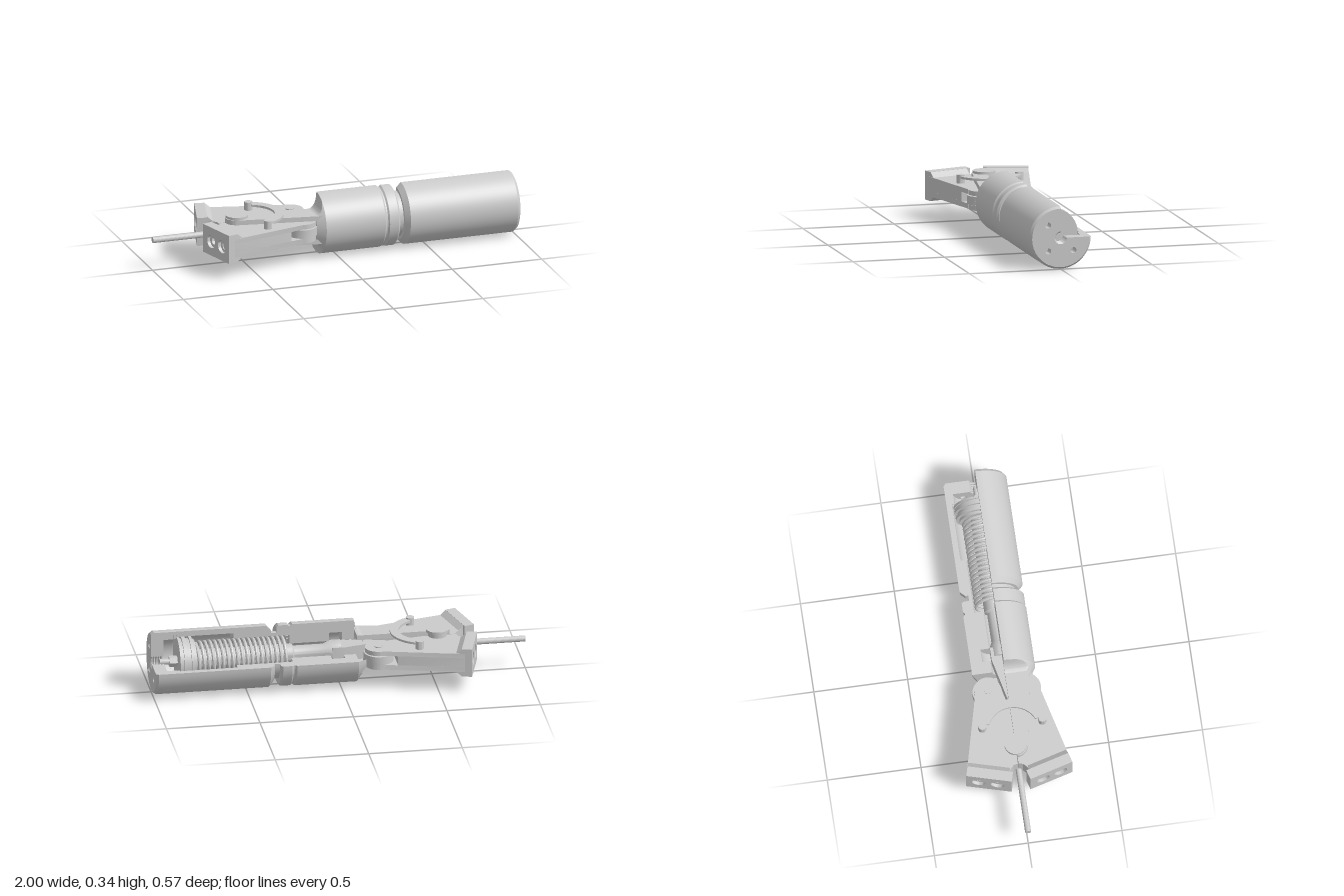
import * as THREE from 'three';
import { toCreasedNormals } from 'three/addons/utils/BufferGeometryUtils.js';
import { ParametricGeometry } from 'three/addons/geometries/ParametricGeometry.js';

const AXIS = 0.168; // height of the main axis
const PI = Math.PI;
const mat = new THREE.MeshStandardMaterial({ color: 0xcccccc, side: THREE.DoubleSide });

function add(parent, name, geo, x = 0, y = 0, z = 0) {
  const m = new THREE.Mesh(toCreasedNormals(geo, 0.5), mat);
  m.name = name;
  m.position.set(x, y, z);
  parent.add(m);
  return m;
}
const shapeOf = (pts) => new THREE.Shape(pts.map((p) => new THREE.Vector2(p[0], p[1])));
const extrude = (shape, depth) =>
  new THREE.ExtrudeGeometry(shape, { depth, bevelEnabled: false, curveSegments: 16 });
// Plan outline (x, z) given thickness between two heights
const plate = (shape, y0, y1) => extrude(shape, y1 - y0).rotateX(PI / 2).translate(0, y1, 0);

// Profile of [x, radius] turned about the x axis, whole or with the upper back quarter removed
function turned(parent, name, pts, cut = false) {
  const v = pts.map((p) => new THREE.Vector2(p[1], p[0]));
  const geo = cut
    ? new THREE.LatheGeometry([...v, v[0]], 42, 1.5 * PI, 1.5 * PI)
    : new THREE.LatheGeometry(v, 40);
  add(parent, name, geo.rotateZ(-PI / 2), 0, AXIS);
  if (cut) {
    add(parent, name + 'CutUpright', new THREE.ShapeGeometry(shapeOf(pts)), 0, AXIS);
    add(parent, name + 'CutLevel', new THREE.ShapeGeometry(shapeOf(pts)).rotateX(-PI / 2), 0, AXIS);
  }
}
const pin = (parent, name, r, y0, y1, x, z) =>
  add(parent, name, new THREE.CylinderGeometry(r, r, y1 - y0, 28), x, (y0 + y1) / 2, z);

function buildHousing(g) {
  // Sectioned body: front housing, collar, neck, cylinder; then the stepped bore back again
  turned(g, 'housing', [
    [-0.085, 0.168], [0.245, 0.168], [0.255, 0.158], [0.262, 0.158], [0.27, 0.166], [0.32, 0.166],
    [0.33, 0.155], [0.33, 0.125], [0.36, 0.125], [0.36, 0.142], [0.385, 0.168], [0.985, 0.168],
    [1.0, 0.157], [0.935, 0.157], [0.935, 0.125], [0.88, 0.125], [0.88, 0.15], [0.865, 0.15],
    [0.865, 0.138], [0.56, 0.138], [0.56, 0.108], [0.26, 0.108], [0.26, 0.058], [0.05, 0.058],
    [0.05, 0.105], [-0.02, 0.105], [-0.02, 0.062], [-0.085, 0.062],
  ], true);

  // End cap with three screw holes and a threaded port
  const cap = new THREE.Shape();
  cap.absarc(0, 0, 0.157, PI / 2, 2 * PI, false);
  cap.absarc(0, 0, 0.036, 2 * PI, PI / 2, true);
  for (const [a, b] of [[-1, 1], [-1, -1], [1, -1]])
    cap.holes.push(new THREE.Path().absarc(a * 0.069, b * 0.069, 0.016, 0, 2 * PI, true));
  add(g, 'endCap', extrude(cap, 0.065).rotateY(PI / 2), 0.935, AXIS);
  const thread = [[0.935, 0.036], [1.0, 0.036]];
  for (let i = 0; i <= 10; i++) thread.push([1.0 - i * 0.0065, i % 2 ? 0.027 : 0.034]);
  turned(g, 'portThread', thread, true);

  // Neck of the housing flaring from the flat fork to the round body
  const W = 0.14, H = 0.078;
  const section = (a, t) => {
    const r = W + (0.168 - W) * t;
    const h = H + (0.168 - H) * (1 - Math.sqrt(1 - t * t));
    return [THREE.MathUtils.clamp(r * Math.sin(a), -h, h), r * Math.cos(a)];
  };
  const angle = (u) => PI / 2 - u * 1.5 * PI;
  const flare = new ParametricGeometry((u, t, p) => {
    const [y, z] = section(angle(u), t);
    p.set(-0.13 + 0.045 * t, y, z);
  }, 48, 10);
  add(g, 'forkFlare', flare, 0, AXIS);
  const end = [[0, 0]];
  for (let i = 0; i <= 36; i++) {
    const [y, z] = section(angle(i / 36), 0);
    end.push([-z, y]);
  }
  add(g, 'forkFlareEnd', new THREE.ShapeGeometry(shapeOf(end)).rotateY(PI / 2), -0.13, AXIS);

  // Tapering fork plates reaching out to the main pivot; the upper one is sectioned
  const fork = (full) => {
    const s = new THREE.Shape();
    s.moveTo(-0.1, 0.138);
    s.lineTo(-0.54, 0.064);
    s.absarc(-0.53, 0, 0.065, 1.75, full ? 2 * PI - 1.75 : PI, false);
    if (full) s.lineTo(-0.1, -0.138);
    else s.lineTo(-0.1, 0);
    return s;
  };
  add(g, 'lowerFork', plate(fork(true), 0.09, 0.116));
  add(g, 'upperFork', plate(fork(false), 0.22, 0.246));
}

function buildDrive(g) {
  // Piston with seal grooves, rod, nut and return spring
  turned(g, 'piston', [
    [0.77, 0], [0.77, 0.112], [0.785, 0.112], [0.785, 0.13], [0.8, 0.13], [0.8, 0.118], [0.82, 0.118],
    [0.82, 0.132], [0.84, 0.132], [0.84, 0.12], [0.85, 0.12], [0.85, 0.13], [0.862, 0.13], [0.862, 0],
  ]);
  turned(g, 'pistonRod', [
    [-0.01, 0], [-0.01, 0.056], [0.05, 0.056], [0.08, 0.042], [0.24, 0.042], [0.25, 0.055], [0.77, 0.055],
  ]);
  turned(g, 'retainingRing', [[0.866, 0.128], [0.866, 0.15], [0.879, 0.15], [0.879, 0.128]], true);
  add(g, 'rodNut', new THREE.CylinderGeometry(0.03, 0.03, 0.045, 6).rotateZ(PI / 2), 0.882, AXIS);
  add(g, 'rodStud', new THREE.CylinderGeometry(0.016, 0.016, 0.07, 20).rotateZ(PI / 2), 0.92, AXIS);

  const coils = 19, helix = [];
  for (let i = 0; i <= coils * 12; i++) {
    const a = (i / 12) * 2 * PI;
    helix.push(new THREE.Vector3(0.272 + (0.49 * i) / (coils * 12), 0.094 * Math.cos(a), 0.094 * Math.sin(a)));
  }
  add(g, 'returnSpring',
    new THREE.TubeGeometry(new THREE.CatmullRomCurve3(helix), coils * 24, 0.009, 8), 0, AXIS);

  // Wedge that spreads the jaw tails
  const wedge = shapeOf([[-0.25, -0.006], [-0.25, 0.006], [-0.03, 0.056], [0.04, 0.056], [0.04, -0.056], [-0.03, -0.056]]);
  add(g, 'wedge', plate(wedge, 0.128, 0.208));
}

function buildJaw(side) {
  const jaw = new THREE.Group();
  jaw.name = side > 0 ? 'leftJaw' : 'rightJaw';
  jaw.scale.z = side;

  // Slotted jaw: two cheeks with a core between them and a link in the slot
  const outline = (rounded) => {
    const s = shapeOf([
      [-0.63, 0.002], [-0.635, 0.025], [-0.655, 0.045], [-0.69, 0.06], [-0.66, 0.272], [-0.63, 0.273],
    ]);
    if (rounded) {
      s.lineTo(-0.22, 0.172);
      s.absarc(-0.2, 0.1, 0.073, 1.85, -0.9, true);
    } else {
      s.lineTo(-0.29, 0.189);
      s.lineTo(-0.29, 0.03);
    }
    s.lineTo(-0.45, 0.002);
    return s;
  };
  add(jaw, 'lowerCheek', plate(outline(true), 0.116, 0.143));
  add(jaw, 'upperCheek', plate(outline(true), 0.195, 0.22));
  add(jaw, 'jawCore', plate(outline(false), 0.143, 0.195));
  pin(jaw, 'jawLink', 0.078, 0.146, 0.192, -0.2, 0.104);
  pin(jaw, 'linkPin', 0.022, 0.112, 0.225, -0.2, 0.1);
  pin(jaw, 'stopPin', 0.022, 0.2, 0.265, -0.41, 0.16);

  // Gripping block with two counterbored holes, chamfered back down to the cheeks
  const L = 0.242;
  const block = new THREE.Group();
  block.name = 'gripBlock';
  block.position.set(-0.735, AXIS, 0.05);
  block.rotation.y = -Math.atan2(0.233, 0.065);
  jaw.add(block);
  const face = (r) => {
    const s = shapeOf([[0, -0.078], [L, -0.078], [L, 0.078], [0, 0.078]]);
    for (const u of [0.075, 0.175]) s.holes.push(new THREE.Path().absarc(u, 0, r, 0, 2 * PI, true));
    return s;
  };
  add(block, 'gripFace', extrude(face(0.036), 0.018), 0, 0, -0.018);
  add(block, 'gripBack', extrude(face(0.02), 0.037), 0, 0, -0.055);
  const chamfer = shapeOf([[0.054, -0.078], [0.085, -0.052], [0.085, 0.052], [0.054, 0.078]]);
  add(block, 'gripChamfer', extrude(chamfer, L - 0.02).rotateY(PI / 2), 0.02);
  return jaw;
}

export function createModel() {
  const g = new THREE.Group();
  g.name = 'sectionedGripper';
  buildHousing(g);
  buildDrive(g);
  for (const side of [1, -1]) g.add(buildJaw(side));

  // Main pivot with wide heads
  pin(g, 'pivotPin', 0.05, 0.08, 0.25, -0.53, 0);
  pin(g, 'pivotHeadTop', 0.06, 0.243, 0.259, -0.53, 0);
  pin(g, 'pivotHeadBottom', 0.06, 0.075, 0.092, -0.53, 0);

  // Crescent spring lying over both jaws
  const c = new THREE.Shape();
  c.absarc(-0.46, 0, 0.182, -1.2, 1.2, false);
  c.absarc(-0.46, 0, 0.135, 1.15, -1.15, true);
  add(g, 'crescent', plate(c, 0.246, 0.258));

  // Slender rod held between the jaws
  add(g, 'heldRod', new THREE.CylinderGeometry(0.016, 0.016, 0.356, 20).rotateZ(PI / 2), -0.822, AXIS);
  return g;
}
